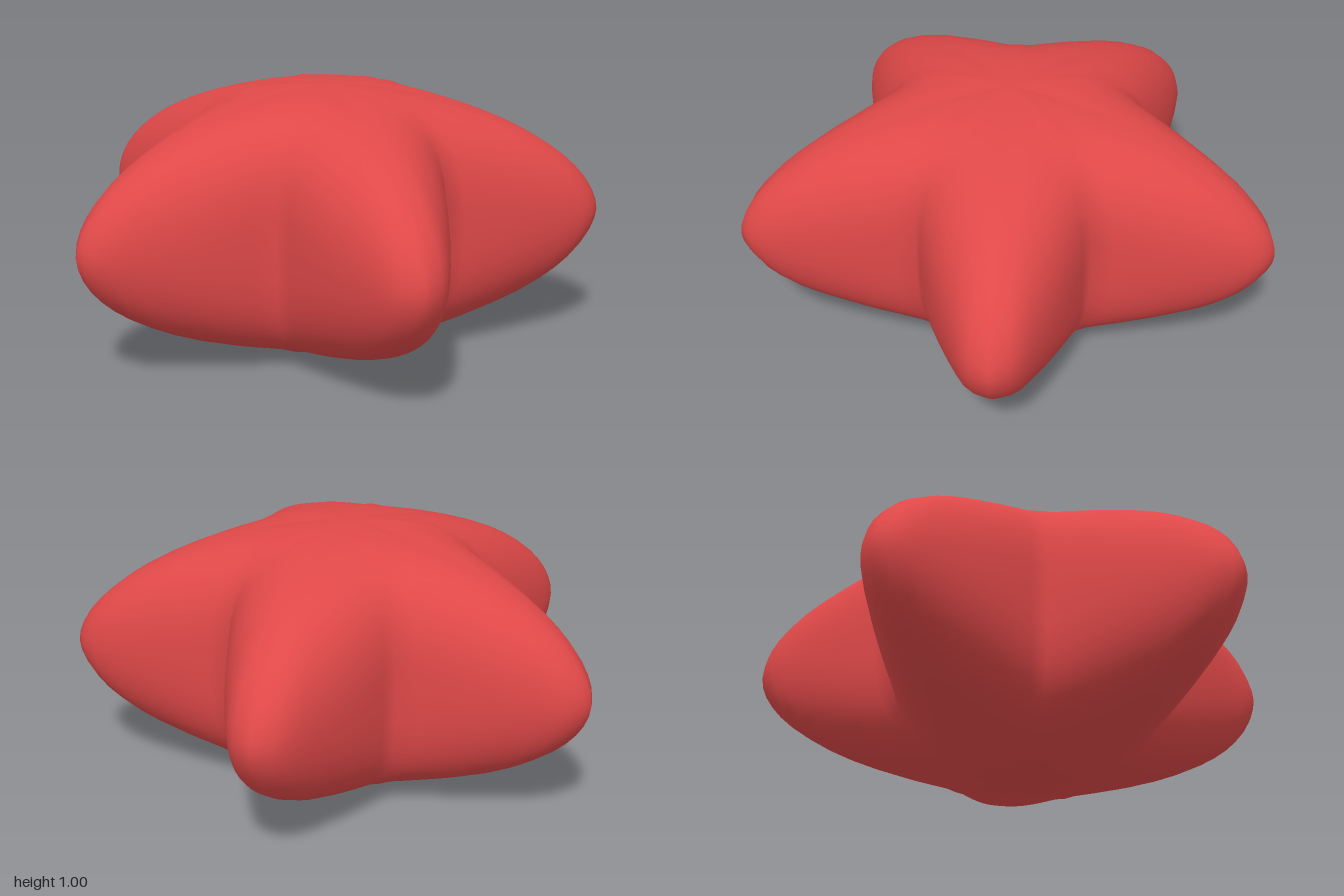
import * as THREE from 'three';

const ARMS = 5, HALF = 10, ROWS = 32;
const TIP = 1.06, VALLEY = 0.55;

export function createModel() {
  const group = new THREE.Group();
  group.name = 'puffyStar';
  const red = new THREE.MeshStandardMaterial({ color: 0xdf4848 });
  red.name = 'coral red';

  // Half of one arm outline, tip to valley (x along the arm, y sideways)
  const half = new THREE.SplineCurve([
    [1.06, 0], [1.01, 0.09], [0.865, 0.167], [0.67, 0.247], [0.445, 0.323],
  ].map(([x, y]) => new THREE.Vector2(x, y))).getPoints(HALF)
    .map(p => ({ r: p.length(), a: p.angle() }));

  // Mirror the half and repeat it around the star
  const outline = [];
  for (let k = 0; k < ARMS; k++) {
    const mid = (9 + 72 * k) * Math.PI / 180;
    for (let i = HALF; i > 0; i--) outline.push({ r: half[i].r, a: mid - half[i].a });
    for (let i = 0; i < HALF; i++) outline.push({ r: half[i].r, a: mid + half[i].a });
  }

  // Puffed body: pointed profile at the tips, fuller profile in the valleys
  const pos = [], index = [], n = outline.length;
  pos.push(0, 0, 0);
  for (let j = 1; j < ROWS; j++) {
    const t = (j / ROWS - 0.5) * Math.PI;
    for (const { r, a } of outline) {
      const w = THREE.MathUtils.clamp((r - VALLEY) / (TIP - VALLEY), 0, 1);
      const e = 2 / THREE.MathUtils.lerp(3.2, 1.8, Math.sqrt(w));
      const s = Math.sin(t);
      const d = r * Math.pow(Math.cos(t), e);
      const h = 0.5 * Math.sign(s) * Math.pow(Math.abs(s), e);
      pos.push(d * Math.sin(a), 0.5 + h, -d * Math.cos(a));
    }
  }
  const top = pos.length / 3;
  pos.push(0, 1, 0);
  const at = (j, i) => 1 + (j - 1) * n + (i % n);
  for (let i = 0; i < n; i++) {
    index.push(0, at(1, i), at(1, i + 1));
    for (let j = 1; j < ROWS - 1; j++) {
      index.push(at(j, i), at(j + 1, i), at(j, i + 1));
      index.push(at(j, i + 1), at(j + 1, i), at(j + 1, i + 1));
    }
    index.push(at(ROWS - 1, i), top, at(ROWS - 1, i + 1));
  }
  const geo = new THREE.BufferGeometry();
  geo.setAttribute('position', new THREE.Float32BufferAttribute(pos, 3));
  geo.setIndex(index);
  geo.computeVertexNormals();

  const body = new THREE.Mesh(geo, red);
  body.name = 'starBody';
  body.position.set(-0.05, 0, 0.05);
  group.add(body);
  return group;
}
